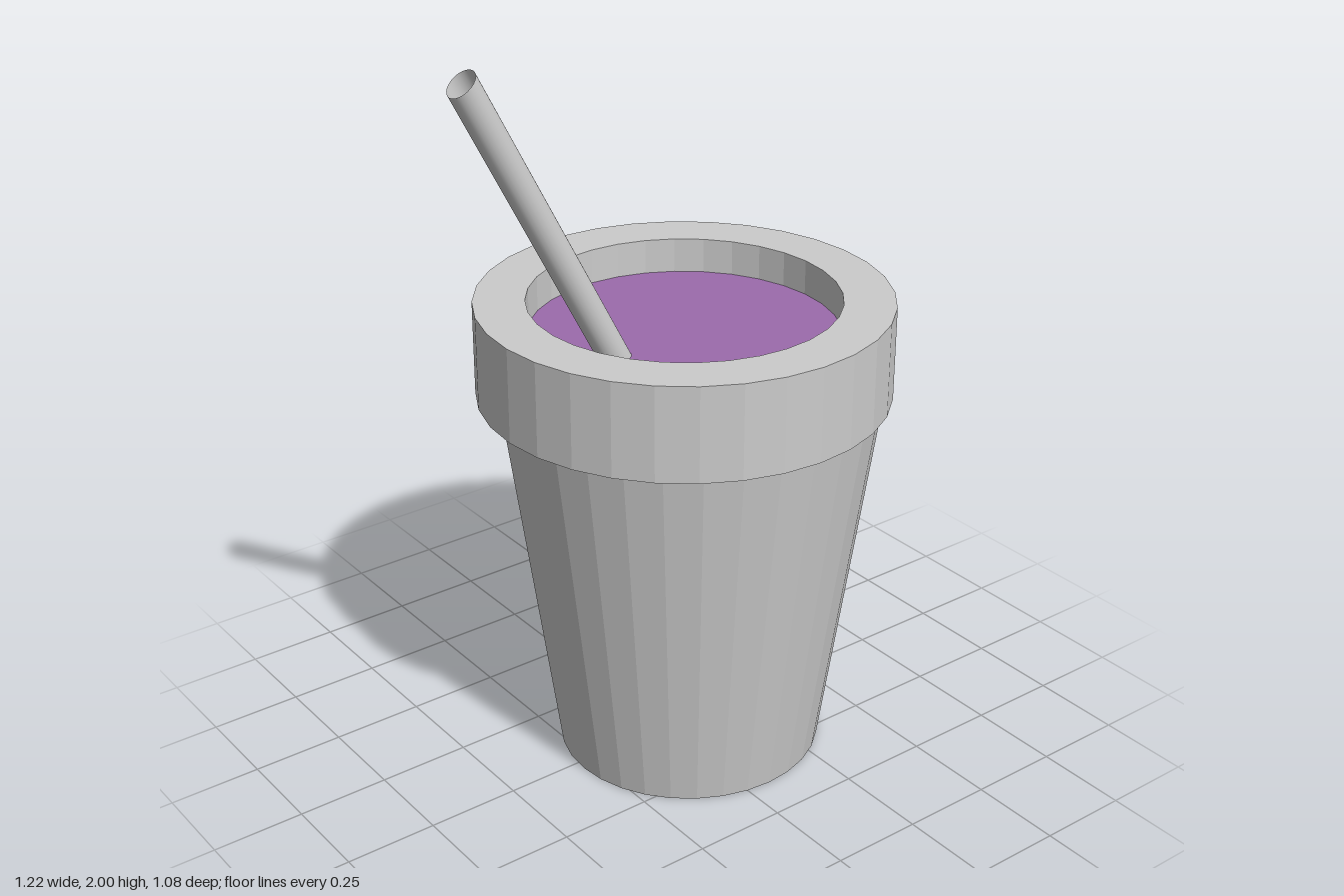
import * as THREE from 'three';

const SEGMENTS = 32;
const CUP_X = 0.07;

function grey(options = {}) {
  return new THREE.MeshStandardMaterial({ color: 0xcccccc, ...options });
}

function addPart(group, name, geometry, material, x, y, z) {
  const mesh = new THREE.Mesh(geometry, material);
  mesh.name = name;
  mesh.position.set(x, y, z);
  group.add(mesh);
  return mesh;
}

export function createModel() {
  const group = new THREE.Group();
  group.name = 'cupWithStraw';

  // Tapered cup body, set slightly forward under the rim
  const bodyHeight = 1.04;
  const body = addPart(group, 'cupBody',
    new THREE.CylinderGeometry(0.504, 0.36, bodyHeight, SEGMENTS),
    grey({ flatShading: true }), CUP_X, bodyHeight / 2, 0.03);
  body.scale.z = 0.98;

  // Thick collar with a square section
  const section = [[0.407, 1.03], [0.542, 1.03], [0.542, 1.285], [0.407, 1.285], [0.407, 1.03]]
    .map(([r, y]) => new THREE.Vector2(r, y));
  addPart(group, 'rim', new THREE.LatheGeometry(section, SEGMENTS),
    grey({ flatShading: true }), CUP_X, 0, 0);

  // Drink filling the collar to just below its top
  addPart(group, 'drink', new THREE.CylinderGeometry(0.407, 0.407, 0.15, SEGMENTS),
    new THREE.MeshStandardMaterial({ color: 0x9c6bac }), CUP_X, 1.115, 0);

  // Leaning open straw, its upper end cut at a slant
  const lean = THREE.MathUtils.degToRad(27.9);
  const length = 0.985;
  const tube = new THREE.CylinderGeometry(0.04, 0.04, length, 24, 1, true);
  const pos = tube.attributes.position;
  for (let i = 0; i < pos.count; i++) {
    if (pos.getY(i) > 0) pos.setY(i, pos.getY(i) + 0.225 * pos.getX(i));
  }
  const straw = addPart(group, 'straw', tube, grey({ side: THREE.DoubleSide }),
    -0.58 + Math.sin(lean) * length / 2, 1.97 - Math.cos(lean) * length / 2, 0.02);
  straw.rotation.z = lean;

  return group;
}
